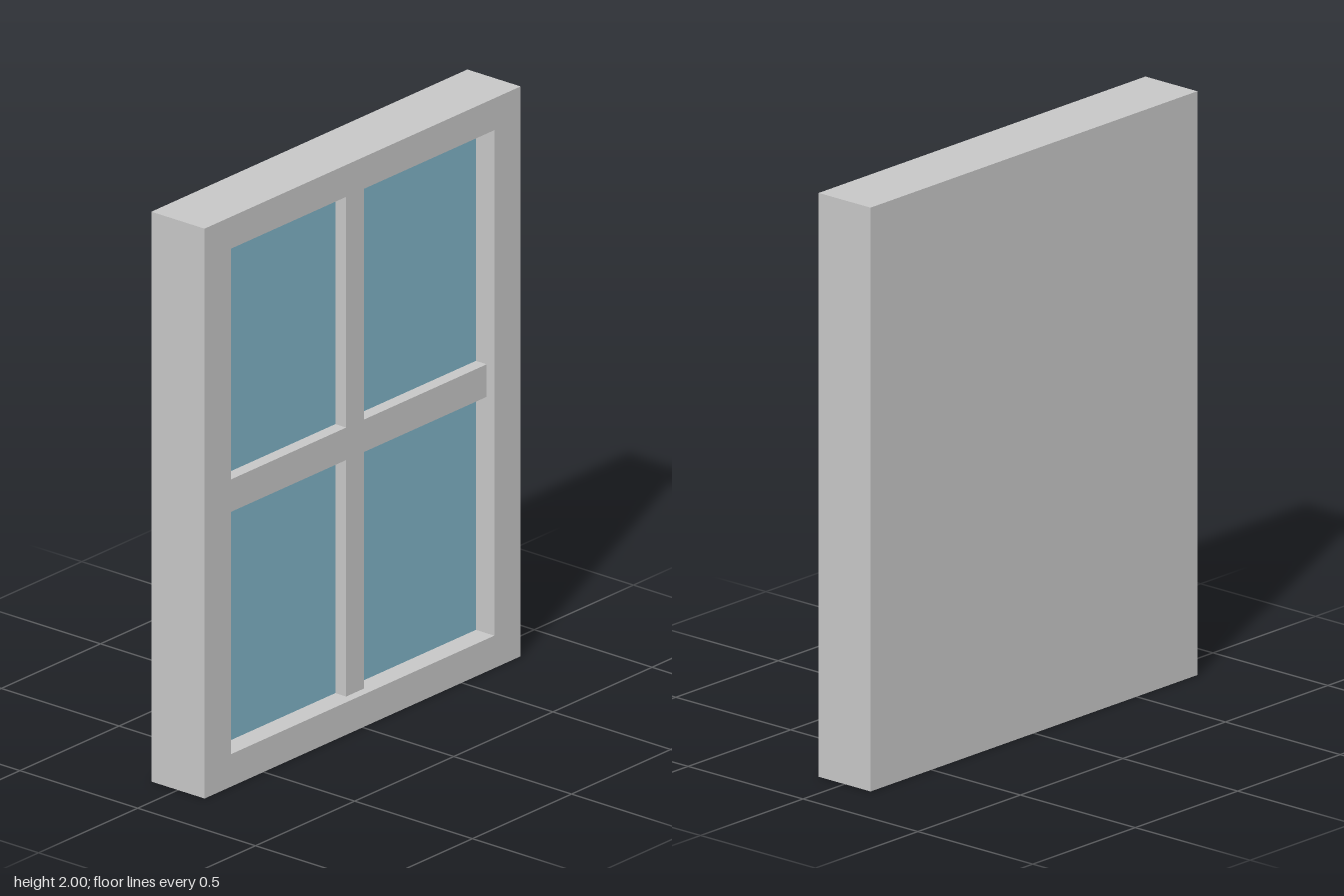
import * as THREE from 'three';

const W = 0.797, H = 2, D = 0.113;              // half width, height, half depth
const OPEN_X = 0.664, OPEN_LOW = 0.114, OPEN_HIGH = 1.888;
const GLASS_Z = 0.035, BAR_Z = 0.081;
const BAR_X = 0.045, BAR_LOW = 0.944, BAR_HIGH = 1.058;

const frameGrey = new THREE.MeshStandardMaterial({ color: 0xc8c8c8 });
frameGrey.name = 'frame grey';
const glassBlue = new THREE.MeshStandardMaterial({ color: 0x81b5c8 });
glassBlue.name = 'glass blue';

// Closed rectangle traced as a shape or a hole
function rect(path, x0, y0, x1, y1) {
  path.moveTo(x0, y0);
  path.lineTo(x1, y0);
  path.lineTo(x1, y1);
  path.lineTo(x0, y1);
  path.closePath();
  return path;
}

// Box given by its two opposite corners
function block(name, material, [x0, y0, z0], [x1, y1, z1]) {
  const mesh = new THREE.Mesh(new THREE.BoxGeometry(x1 - x0, y1 - y0, z1 - z0), material);
  mesh.position.set((x0 + x1) / 2, (y0 + y1) / 2, (z0 + z1) / 2);
  mesh.name = name;
  return mesh;
}

// Extruded slab from a shape between two depths
function slab(name, shape, z0, z1) {
  const geometry = new THREE.ExtrudeGeometry(shape, { depth: z1 - z0, bevelEnabled: false });
  const mesh = new THREE.Mesh(geometry, frameGrey);
  mesh.position.z = z0;
  mesh.name = name;
  return mesh;
}

export function createModel() {
  const model = new THREE.Group();
  model.name = 'window';

  // Outer frame with one large opening
  const frame = rect(new THREE.Shape(), -W, 0, W, H);
  frame.holes.push(rect(new THREE.Path(), -OPEN_X, OPEN_LOW, OPEN_X, OPEN_HIGH));
  model.add(slab('frame', frame, -D, D));

  // Solid back closing the opening
  model.add(block('backPanel', frameGrey,
    [-OPEN_X, OPEN_LOW, -D], [OPEN_X, OPEN_HIGH, GLASS_Z - 0.008]));

  // Cross-shaped glazing bars, set back from the frame
  const cross = new THREE.Shape([
    [-BAR_X, OPEN_LOW], [BAR_X, OPEN_LOW], [BAR_X, BAR_LOW], [OPEN_X, BAR_LOW],
    [OPEN_X, BAR_HIGH], [BAR_X, BAR_HIGH], [BAR_X, OPEN_HIGH], [-BAR_X, OPEN_HIGH],
    [-BAR_X, BAR_HIGH], [-OPEN_X, BAR_HIGH], [-OPEN_X, BAR_LOW], [-BAR_X, BAR_LOW],
  ].map(([x, y]) => new THREE.Vector2(x, y)));
  model.add(slab('glazingBars', cross, GLASS_Z - 0.008, BAR_Z));

  // Four thin panes
  for (const [side, x0, x1] of [['Right', -OPEN_X, -BAR_X], ['Left', BAR_X, OPEN_X]]) {
    for (const [row, y0, y1] of [['lower', OPEN_LOW, BAR_LOW], ['upper', BAR_HIGH, OPEN_HIGH]]) {
      model.add(block(`${row}${side}Pane`, glassBlue,
        [x0, y0, GLASS_Z - 0.008], [x1, y1, GLASS_Z]));
    }
  }
  return model;
}
